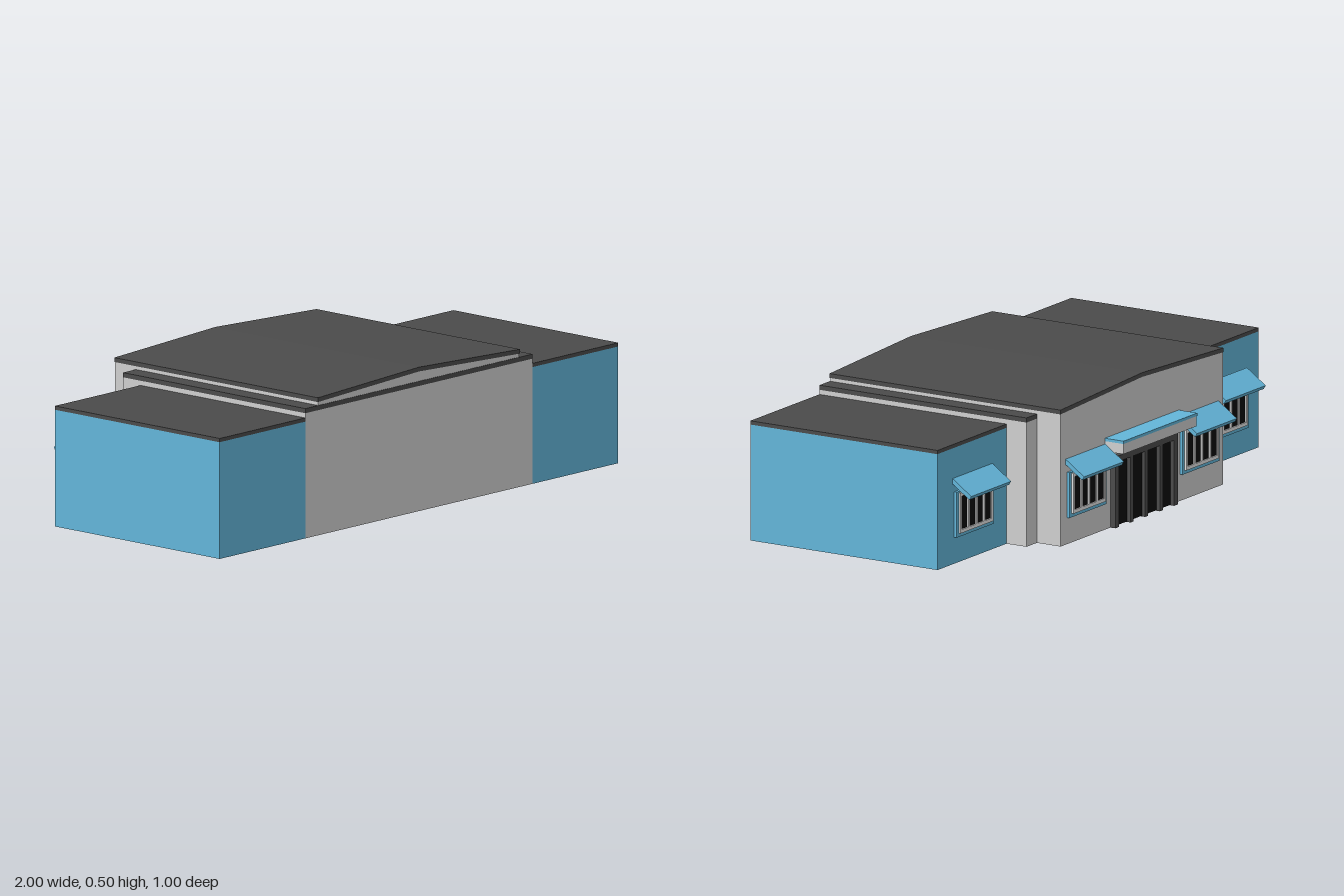
import * as THREE from 'three';

const paint = (name, color) => {
  const m = new THREE.MeshStandardMaterial({ color });
  m.name = name;
  return m;
};

export function createModel() {
  const blue = paint('sky blue', 0x63b5d9);
  const grey = paint('light grey wall', 0xcfcfcf);
  const dark = paint('charcoal', 0x4b4b4b);
  const white = paint('off white frame', 0xe2e2e2);
  const black = paint('black glass', 0x0b0b0b);

  const model = new THREE.Group();
  model.name = 'building';

  const add = (parent, name, geometry, material) => {
    const mesh = new THREE.Mesh(geometry, material);
    mesh.name = name;
    parent.add(mesh);
    return mesh;
  };
  // Box given by its limits on each axis
  const box = (parent, name, material, x0, x1, y0, y1, z0, z1) => {
    const g = new THREE.BoxGeometry(x1 - x0, y1 - y0, z1 - z0);
    g.translate((x0 + x1) / 2, (y0 + y1) / 2, (z0 + z1) / 2);
    return add(parent, name, g, material);
  };
  // Prism with an x-y outline, running from z0 to z1
  const prism = (points, z0, z1) => {
    const shape = new THREE.Shape(points.map(([x, y]) => new THREE.Vector2(x, y)));
    const g = new THREE.ExtrudeGeometry(shape, { depth: z1 - z0, bevelEnabled: false });
    return g.translate(0, 0, z0);
  };

  // Side wings with flat roofs
  for (const [name, x0, x1] of [['right', -1, -0.57], ['left', 0.57, 1]]) {
    box(model, name + 'Wing', blue, x0, x1, 0, 0.403, -0.25, 0.5);
    box(model, name + 'WingRoof', dark, x0, x1, 0.403, 0.416, -0.25, 0.5);
  }

  // Stepped middle block
  box(model, 'middleBlock', grey, -0.57, 0.57, 0, 0.432, -0.33, 0.5);
  box(model, 'middleRoof', dark, -0.57, 0.57, 0.432, 0.448, -0.33, 0.5);

  // Entrance hall with a shallow gable
  add(model, 'entranceHall', prism([[-0.505, 0], [0.505, 0], [0.505, 0.46],
    [0, 0.482], [-0.505, 0.46]], -0.425, 0.498), grey);
  add(model, 'gableRoof', prism([[-0.507, 0.46], [0, 0.482], [0.507, 0.46],
    [0.507, 0.475], [0, 0.497], [-0.507, 0.475]], -0.426, 0.5), dark);

  // Window with trim, glass, bars and sloping awning; local +z points out of the wall
  const addWindow = (name, x, z) => {
    const win = new THREE.Group();
    win.name = name;
    box(win, 'windowTrim', blue, -0.115, 0.115, 0.092, 0.25, -0.02, 0.011);
    box(win, 'windowGlass', black, -0.098, 0.098, 0.108, 0.242, 0.011, 0.013);
    for (const y of [0.105, 0.233])
      box(win, 'windowRail', white, -0.102, 0.102, y, y + 0.012, 0.011, 0.018);
    for (let i = 0; i < 5; i++) {
      const c = -0.097 + i * 0.0485;
      box(win, 'windowBar', white, c - 0.005, c + 0.005, 0.117, 0.233, 0.011, 0.018);
    }
    const awning = prism([[0, 0.279], [0.067, 0.233], [0.075, 0.246], [0, 0.298]], -0.124, 0.124);
    add(win, 'awning', awning.rotateY(-Math.PI / 2), blue);
    win.rotation.y = Math.PI;
    win.position.set(x, 0, z);
    model.add(win);
  };
  addWindow('rightWingWindow', -0.785, -0.262);
  addWindow('leftWingWindow', 0.782, -0.25);
  addWindow('rightHallWindow', -0.354, -0.424);
  addWindow('leftHallWindow', 0.35, -0.424);

  // Entrance doors: dark glass behind a charcoal frame
  const doors = new THREE.Group();
  doors.name = 'entranceDoors';
  model.add(doors);
  box(doors, 'doorGlass', black, -0.185, 0.185, 0.002, 0.24, -0.431, -0.42);
  box(doors, 'doorHeader', dark, -0.195, 0.195, 0.228, 0.248, -0.445, -0.42);
  for (let i = 0; i < 5; i++) {
    const c = -0.183 + i * 0.0915;
    const w = i % 4 === 0 ? 0.012 : 0.009;
    box(doors, 'doorPost', dark, c - w, c + w, 0, 0.228, -0.445, -0.42);
  }

  // Canopy over the doors
  box(model, 'canopy', grey, -0.228, 0.228, 0.272, 0.308, -0.498, -0.42);
  box(model, 'canopyTop', blue, -0.23, 0.23, 0.308, 0.318, -0.5, -0.42);

  return model;
}
